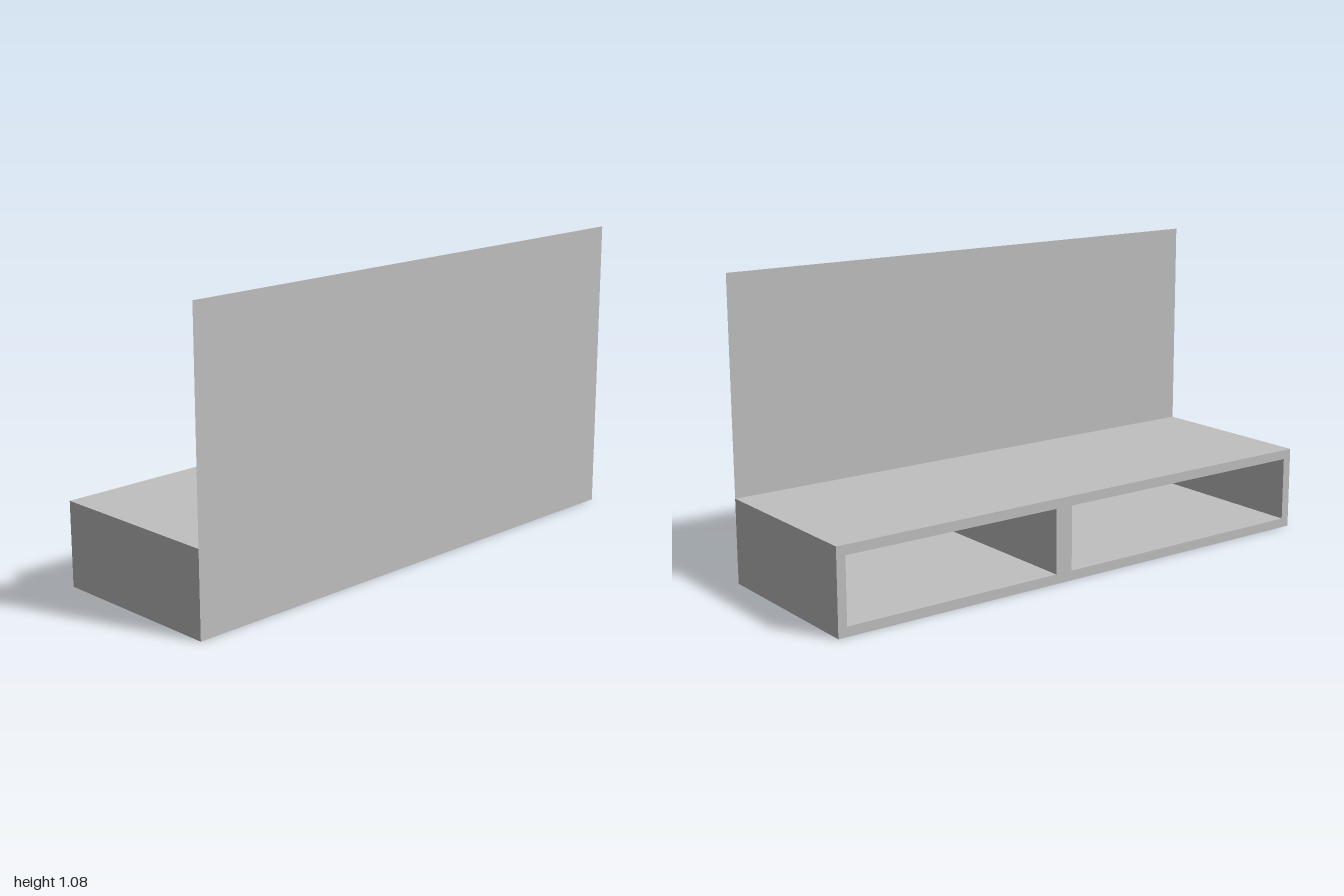
import * as THREE from 'three';

const W = 2, H = 1.08, D = 0.666, BASE_H = 0.305, BOARD = 0.035;

// Rectangle added to a shape or path
function rect(path, x0, y0, x1, y1) {
  path.moveTo(x0, y0);
  path.lineTo(x1, y0);
  path.lineTo(x1, y1);
  path.lineTo(x0, y1);
  path.closePath();
  return path;
}

export function createModel() {
  const group = new THREE.Group();
  const grey = new THREE.MeshStandardMaterial({ color: 0xc0c0c0, side: THREE.DoubleSide });
  grey.name = 'lightGrey';

  // Low cabinet: two unequal compartments open to the back
  const outline = rect(new THREE.Shape(), -W / 2, 0, W / 2, BASE_H);
  for (const [x0, x1] of [[-0.967, 0.063], [0.13, 0.967]]) {
    outline.holes.push(rect(new THREE.Path(), x0, BOARD, x1, BASE_H - BOARD));
  }
  const cabinetGeometry = new THREE.ExtrudeGeometry(outline, { depth: D, bevelEnabled: false });
  cabinetGeometry.translate(0, 0, -D / 2);
  const cabinet = new THREE.Mesh(cabinetGeometry, grey);
  cabinet.name = 'cabinet';
  group.add(cabinet);

  // Thin full-height sheet closing the front and rising above the cabinet
  const panel = new THREE.Mesh(new THREE.PlaneGeometry(W, H), grey);
  panel.name = 'frontPanel';
  panel.position.set(0, H / 2, D / 2);
  group.add(panel);

  return group;
}
